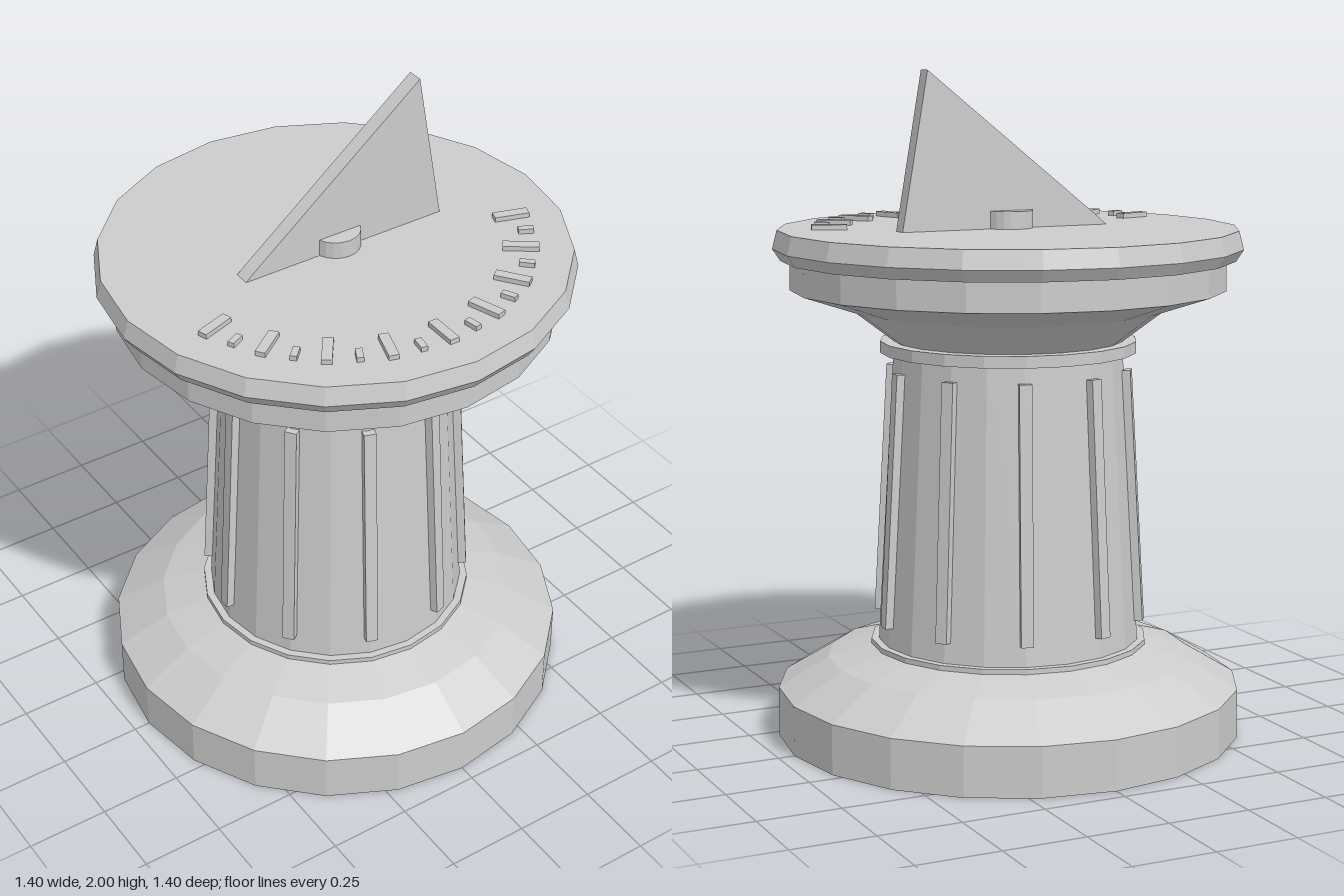
import * as THREE from 'three';

const SIDES = 20;

export function createModel() {
  const model = new THREE.Group();
  model.name = 'sundial';
  const stone = new THREE.MeshStandardMaterial({ color: 0xcccccc });
  stone.name = 'stone grey';

  // Faceted mesh: every face gets its own normal
  function add(name, geometry, parent = model) {
    const flat = geometry.index ? geometry.toNonIndexed() : geometry;
    flat.computeVertexNormals();
    const mesh = new THREE.Mesh(flat, stone);
    mesh.name = name;
    parent.add(mesh);
    return mesh;
  }

  // Turned part from [radius, y] pairs, bottom to top
  function turned(name, profile) {
    const points = profile.map(([r, y]) => new THREE.Vector2(r, y));
    return add(name, new THREE.LatheGeometry(points, SIDES));
  }

  // Group turned about the vertical axis
  function spoke(name, angle) {
    const group = new THREE.Group();
    group.name = name;
    group.rotation.y = angle;
    model.add(group);
    return group;
  }

  // Pedestal
  turned('base', [[0, 0], [0.7, 0], [0.7, 0.15], [0.55, 0.24], [0.41, 0.28], [0, 0.28]]);
  turned('lowerCollar', [[0, 0.275], [0.418, 0.275], [0.418, 0.293], [0, 0.293]]);
  turned('column', [[0, 0.28], [0.396, 0.28], [0.345, 1.17], [0, 1.17]]);
  turned('upperCollar', [[0, 1.165], [0.385, 1.165], [0.385, 1.2], [0, 1.2]]);
  turned('capital', [[0, 1.2], [0.345, 1.2], [0.47, 1.295], [0.65, 1.355], [0.65, 1.445], [0, 1.445]]);
  turned('dialPlate', [[0, 1.443], [0.677, 1.443], [0.7, 1.478], [0.686, 1.533], [0, 1.533]]);

  // Raised ribs leaning with the column's taper
  for (let i = 0; i < 10; i++) {
    const rib = add('rib', new THREE.BoxGeometry(0.034, 0.762, 0.037),
      spoke('ribSpoke', (i * Math.PI) / 5));
    rib.position.set(0.375, 0.735, 0);
    rib.rotation.z = 0.0565;
  }

  // Hour marks, long and short in turn, around the front half
  for (let i = -8; i <= 8; i++) {
    const long = i % 2 === 0;
    const size = long ? [0.03, 0.02, 0.105] : [0.02, 0.02, 0.045];
    const mark = add(long ? 'hourMark' : 'halfHourMark', new THREE.BoxGeometry(...size),
      spoke('markSpoke', (i * Math.PI) / 20));
    mark.position.set(0, 1.538, long ? 0.532 : 0.555);
  }

  // Hub and gnomon
  add('hub', new THREE.CylinderGeometry(0.074, 0.074, 0.055, SIDES)).position.y = 1.558;
  const fin = new THREE.Shape([[-0.32, 1.53], [0.352, 1.53], [0.27, 2], [-0.29, 1.556]]
    .map(([x, y]) => new THREE.Vector2(x, y)));
  add('gnomon', new THREE.ExtrudeGeometry(fin, { depth: 0.048, bevelEnabled: false }))
    .position.z = -0.024;

  return model;
}
